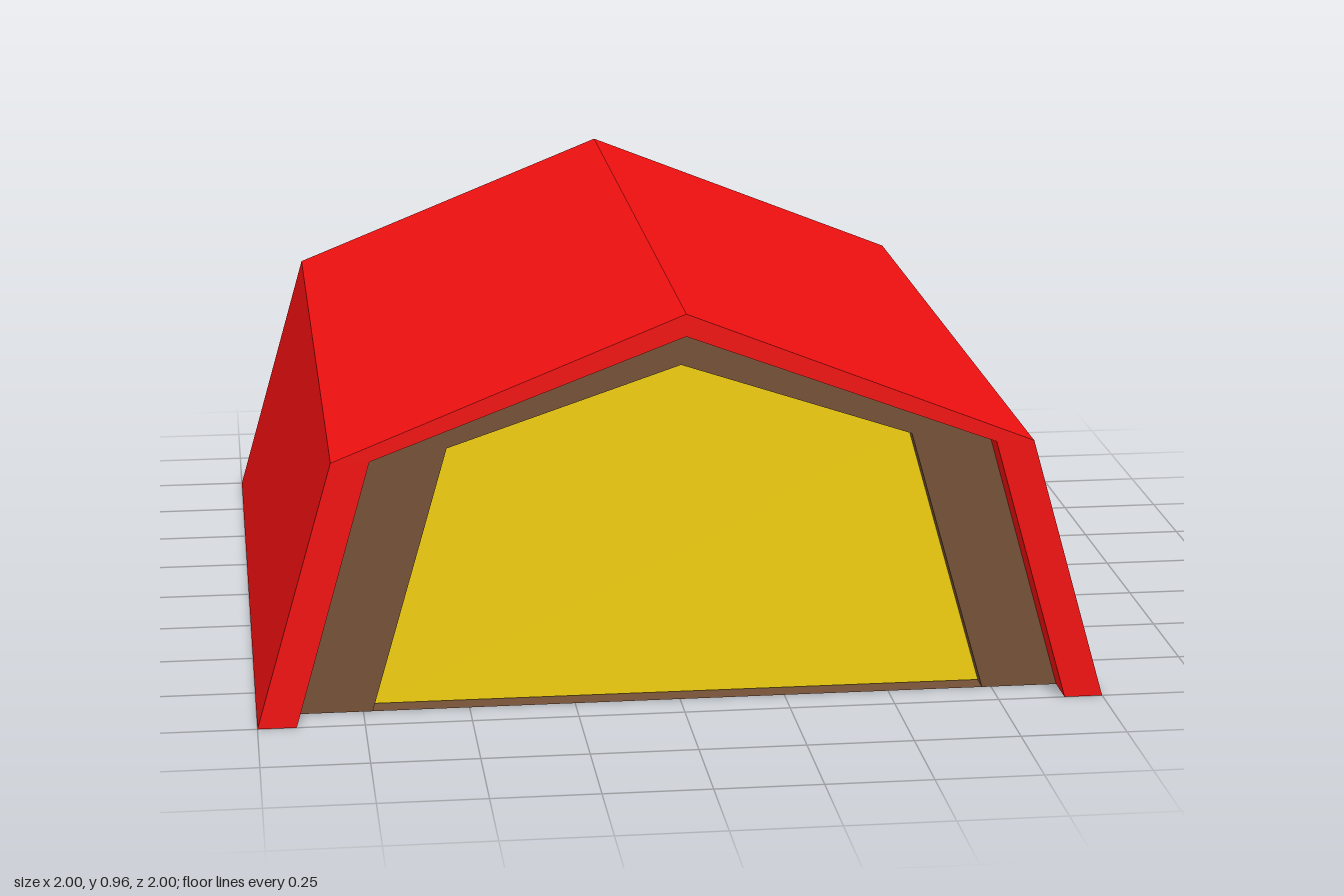
import * as THREE from 'three';

const RED = 0xf01010, BROWN = 0x745036, YELLOW = 0xefce0d;
const EAVE = 0.637;

// Barn-shaped outline: half width at ground, half width at eaves, ridge height
const outline = (base, eave, ridge, y0 = 0) =>
  [[-base, y0], [base, y0], [eave, EAVE], [0, ridge], [-eave, EAVE]].map(([x, y]) => new THREE.Vector2(x, y));

// Open-bottomed arch between an outer and an inner outline
function archShape(outer, inner) {
  const [ol, ...oRest] = outer;
  const [il, ...iRest] = inner;
  return new THREE.Shape([...oRest, ol, il, ...iRest.reverse()]);
}

function addPart(group, name, geometry, color, side = THREE.FrontSide) {
  const material = new THREE.MeshStandardMaterial({ color, side, flatShading: true });
  const mesh = new THREE.Mesh(geometry, material);
  mesh.name = name;
  group.add(mesh);
  return mesh;
}

// Extrusion centred on z = 0
function extrude(shape, depth) {
  const geometry = new THREE.ExtrudeGeometry(shape, { depth, bevelEnabled: false });
  return geometry.translate(0, 0, -depth / 2);
}

export function createModel() {
  const model = new THREE.Group();
  model.name = 'shelter';

  const roofOuter = outline(1, 0.818, 0.964);
  const frameOuter = outline(0.909, 0.729, 0.911);
  const frameInner = outline(0.728, 0.546, 0.82);
  const frameLength = 1.818;

  // Outer shell and the slightly shorter lining inside it
  addPart(model, 'roofShell', extrude(archShape(roofOuter, frameOuter), 2), RED);
  addPart(model, 'innerFrame', extrude(archShape(frameOuter, frameInner), frameLength), BROWN);

  // Thin ground sheet
  const floor = new THREE.PlaneGeometry(1.456, frameLength).rotateX(-Math.PI / 2);
  addPart(model, 'floor', floor, BROWN, THREE.DoubleSide);

  // Recessed end walls, front and back
  const wallShape = new THREE.Shape(outline(0.727, 0.546, 0.82, 0.003));
  for (const [name, sign] of [['frontWall', 1], ['backWall', -1]]) {
    const wall = addPart(model, name, extrude(wallShape, 0.04), YELLOW);
    wall.position.z = sign * 0.844;
  }
  return model;
}
